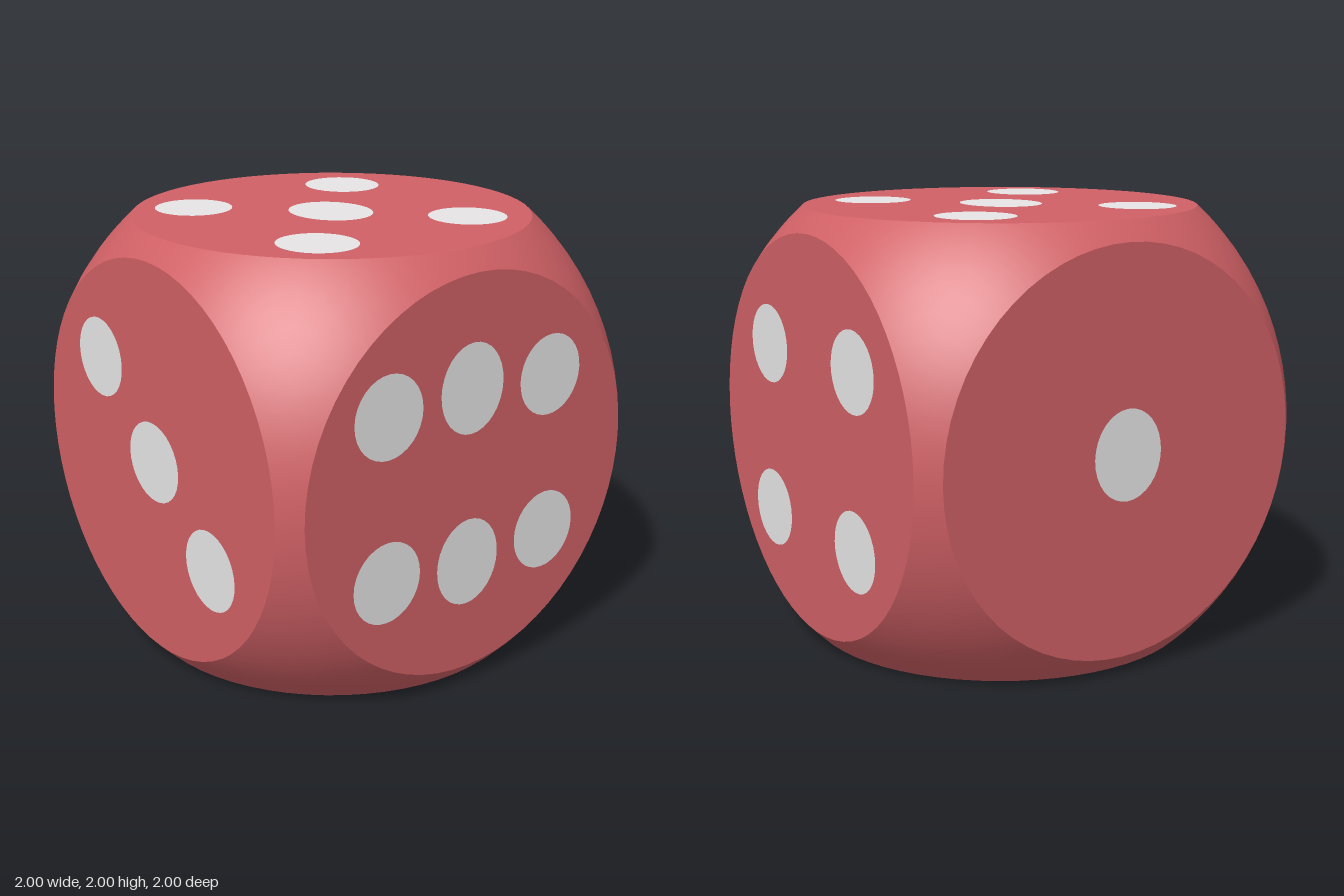
import * as THREE from 'three';
import { mergeGeometries } from 'three/addons/utils/BufferGeometryUtils.js';

const R_FACE = 0.915;                    // radius of each flat round face
const R_BALL = Math.hypot(1, R_FACE);    // ball that rounds off the cube
const SEG = 16;                          // steps along one quarter of a face rim

// Rim directions on the unit square, evenly spaced by angle, counter-clockwise
function squareRim() {
  const rim = [];
  for (let q = 0; q < 4; q++) {
    for (let i = 0; i < SEG; i++) {
      const p = new THREE.Vector2(1, Math.tan((i / SEG - 0.5) * Math.PI / 2));
      rim.push(p.rotateAround(new THREE.Vector2(), q * Math.PI / 2));
    }
  }
  rim.push(rim[0].clone());
  return rim;
}

// Spherical band running from a round face out to the neighbouring bands
function cornerBand(rim) {
  const rings = 8, pos = [], nor = [], idx = [];
  rim.forEach((p) => {
    const inner = p.clone().setLength(R_FACE);
    const a = new THREE.Vector3(inner.x, inner.y, 1);
    const b = new THREE.Vector3(p.x, p.y, 1).setLength(R_BALL);
    for (let k = 0; k <= rings; k++) {
      const n = a.clone().lerp(b, k / rings).normalize();
      nor.push(n.x, n.y, n.z);
      n.multiplyScalar(R_BALL);
      pos.push(n.x, n.y, n.z);
    }
  });
  const row = rings + 1;
  for (let i = 0; i < rim.length - 1; i++) {
    for (let k = 0; k < rings; k++) {
      const a = i * row + k, b = a + row;
      idx.push(a, a + 1, b + 1, a, b + 1, b);
    }
  }
  const g = new THREE.BufferGeometry();
  g.setAttribute('position', new THREE.Float32BufferAttribute(pos, 3));
  g.setAttribute('normal', new THREE.Float32BufferAttribute(nor, 3));
  g.setIndex(idx);
  return g;
}

function ellipsePoints([x, y, rx, ry]) {
  return new THREE.EllipseCurve(x, y, rx, ry).getPoints(32).slice(0, -1);
}

// Each side: rotation and pips as [u, v, radiusU, radiusV]
const SIDES = [
  { name: 'front', rot: [0, 0], pips: [
    [-0.48, 0.38, 0.183, 0.187], [-0.02, 0.41, 0.178, 0.205], [0.445, 0.38, 0.183, 0.187],
    [-0.48, -0.365, 0.183, 0.187], [-0.02, -0.395, 0.178, 0.203], [0.445, -0.365, 0.183, 0.187]] },
  { name: 'right', rot: [0, 1], pips: [
    [-0.42, 0.37, 0.19, 0.183], [0.4, 0.37, 0.195, 0.183],
    [-0.425, -0.42, 0.19, 0.183], [0.39, -0.425, 0.188, 0.183]] },
  { name: 'back', rot: [0, 2], pips: [[0.01, 0, 0.177, 0.205]] },
  { name: 'left', rot: [0, -1], pips: [
    [-0.43, 0.385, 0.188, 0.185], [0, 0, 0.2, 0.185], [0.43, -0.37, 0.188, 0.185]] },
  { name: 'top', rot: [-1, 0], pips: [
    [-0.46, 0.45, 0.178, 0.182], [0.415, 0.45, 0.178, 0.187], [-0.005, 0, 0.183, 0.213],
    [-0.437, -0.463, 0.177, 0.187], [0.42, -0.463, 0.178, 0.182]] },
  { name: 'bottom', rot: [1, 0], pips: [
    [0.35, 0.41, 0.18, 0.185], [-0.39, -0.39, 0.18, 0.185]] },
];

export function createModel() {
  const red = new THREE.MeshStandardMaterial({ color: 0xcf6065 });
  red.name = 'red';
  const white = new THREE.MeshStandardMaterial({ color: 0xf0eeee });
  white.name = 'white';

  const model = new THREE.Group();
  model.name = 'die';
  const rim = squareRim();
  const band = cornerBand(rim);
  const bands = [];

  for (const { name, rot, pips } of SIDES) {
    const turn = new THREE.Matrix4().makeRotationFromEuler(
      new THREE.Euler(rot[0] * Math.PI / 2, rot[1] * Math.PI / 2, 0));
    bands.push(band.clone().applyMatrix4(turn));

    const side = new THREE.Group();
    side.name = name + 'Side';
    side.position.y = 1;
    side.rotation.setFromRotationMatrix(turn);

    // Flat round face with openings for the inlaid pips
    const disc = new THREE.Shape(rim.slice(0, -1).map((p) => p.clone().setLength(R_FACE)));
    disc.holes = pips.map((p) => new THREE.Path(ellipsePoints(p)));
    const face = new THREE.Mesh(new THREE.ShapeGeometry(disc).translate(0, 0, 1), red);
    face.name = name + 'Face';

    const dots = pips.map((p) => new THREE.ShapeGeometry(new THREE.Shape(ellipsePoints(p))));
    const pipMesh = new THREE.Mesh(mergeGeometries(dots).translate(0, 0, 1), white);
    pipMesh.name = name + 'Pips';

    side.add(face, pipMesh);
    model.add(side);
  }

  // Rounded edges and corners
  const corners = new THREE.Mesh(mergeGeometries(bands), red);
  corners.name = 'roundedCorners';
  corners.position.y = 1;
  model.add(corners);
  return model;
}
